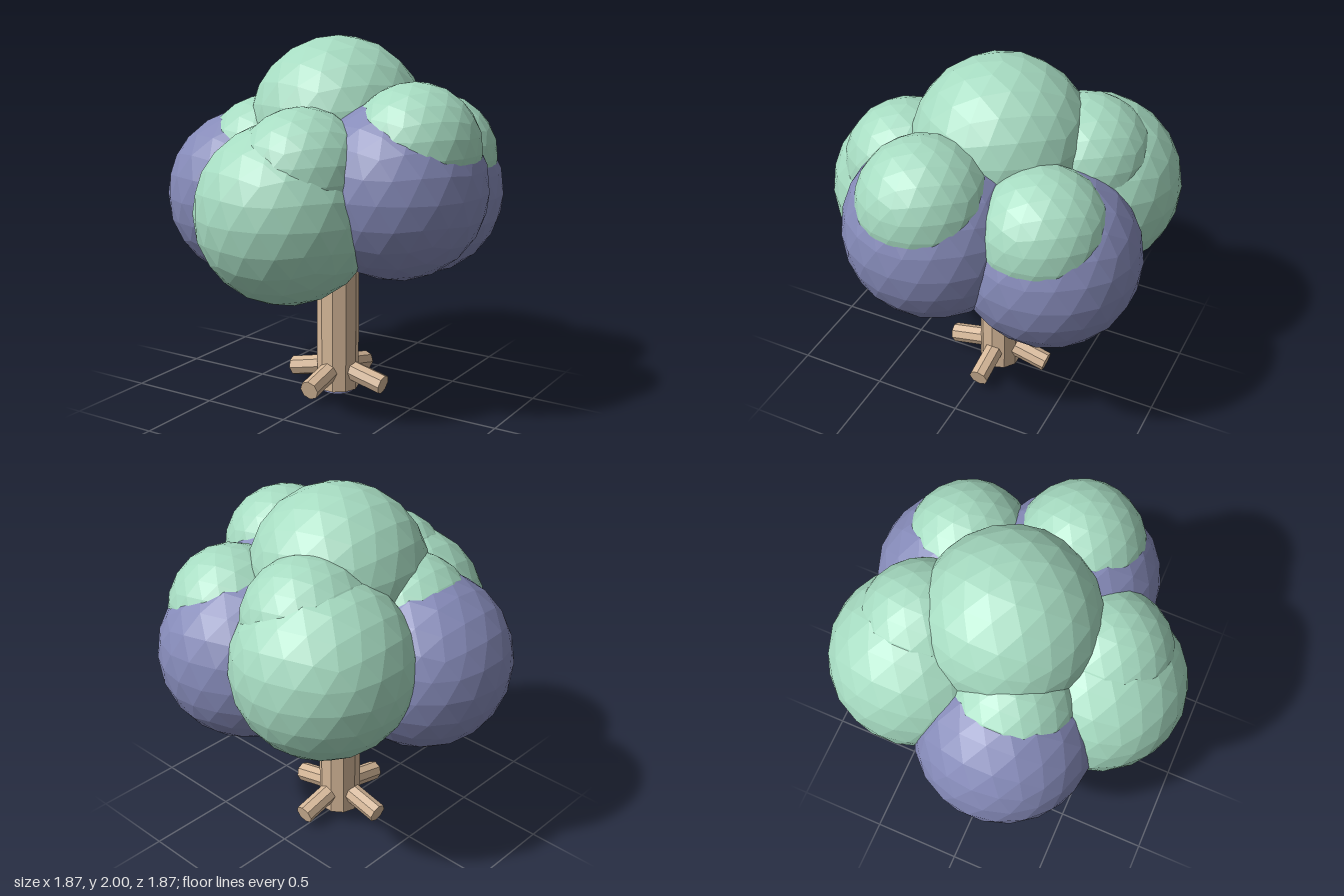
import * as THREE from 'three';

export function createModel() {
  const group = new THREE.Group();
  const mat = (name, color) => {
    const m = new THREE.MeshStandardMaterial({ color, flatShading: true });
    m.name = name;
    return m;
  };
  const green = mat('mint green', 0xa6dbc1);
  const purple = mat('dusty purple', 0x858ab8);
  const bark = mat('tan bark', 0xd6b899);

  const add = (name, geometry, material, x, y, z) => {
    const mesh = new THREE.Mesh(geometry, material);
    mesh.name = name;
    mesh.position.set(x, y, z);
    group.add(mesh);
    return mesh;
  };

  // Faceted ball with one corner pointing straight up
  const ball = (radius, detail) =>
    new THREE.IcosahedronGeometry(radius, detail).rotateZ(-Math.atan(2 / (1 + Math.sqrt(5))));

  // Trunk and the small plug under it
  const axisZ = -0.045;
  add('trunk', new THREE.CylinderGeometry(0.118, 0.118, 1.2, 10).rotateY(Math.PI / 2), bark, 0, 0.62, axisZ);
  add('trunkBase', new THREE.CylinderGeometry(0.09, 0.09, 0.06, 16), purple, 0, 0.03, axisZ);

  // Four stubby roots sloping down and outward
  const tilt = 0.23;
  for (let i = 0; i < 4; i++) {
    const geometry = new THREE.CylinderGeometry(0.056, 0.056, 0.25, 8)
      .rotateZ(Math.PI / 2 - tilt)
      .translate(0.175, 0.111, 0)
      .rotateY(i * Math.PI / 2);
    add('root', geometry, bark, 0, 0, axisZ);
  }

  // Large foliage clumps, each with a smaller green clump on its shoulder
  const big = ball(0.48, 3);
  const small = ball(0.348, 3);
  const clumps = [
    ['frontFoliage', green, 0, 1.12, 0.455],
    ['rightFoliage', purple, -0.455, 1.12, 0.11],
    ['leftFoliage', purple, 0.455, 1.24, 0.11],
    ['backLeftFoliage', purple, 0.28, 1.12, -0.455],
    ['backRightFoliage', green, -0.28, 1.24, -0.455],
  ];
  for (const [name, material, x, y, z] of clumps) {
    add(name, big, material, x, y, z);
    add(name + 'Cap', small, green, x + 0.102, y + 0.207, z);
  }
  add('topFoliage', big, green, 0, 1.52, -0.05);

  // Little fruits hanging under the back foliage
  const fruit = ball(0.05, 2);
  add('tanFruit', fruit, bark, -0.025, 0.777, -0.455);
  add('purpleFruit', fruit, purple, -0.3, 0.755, -0.46);

  return group;
}
